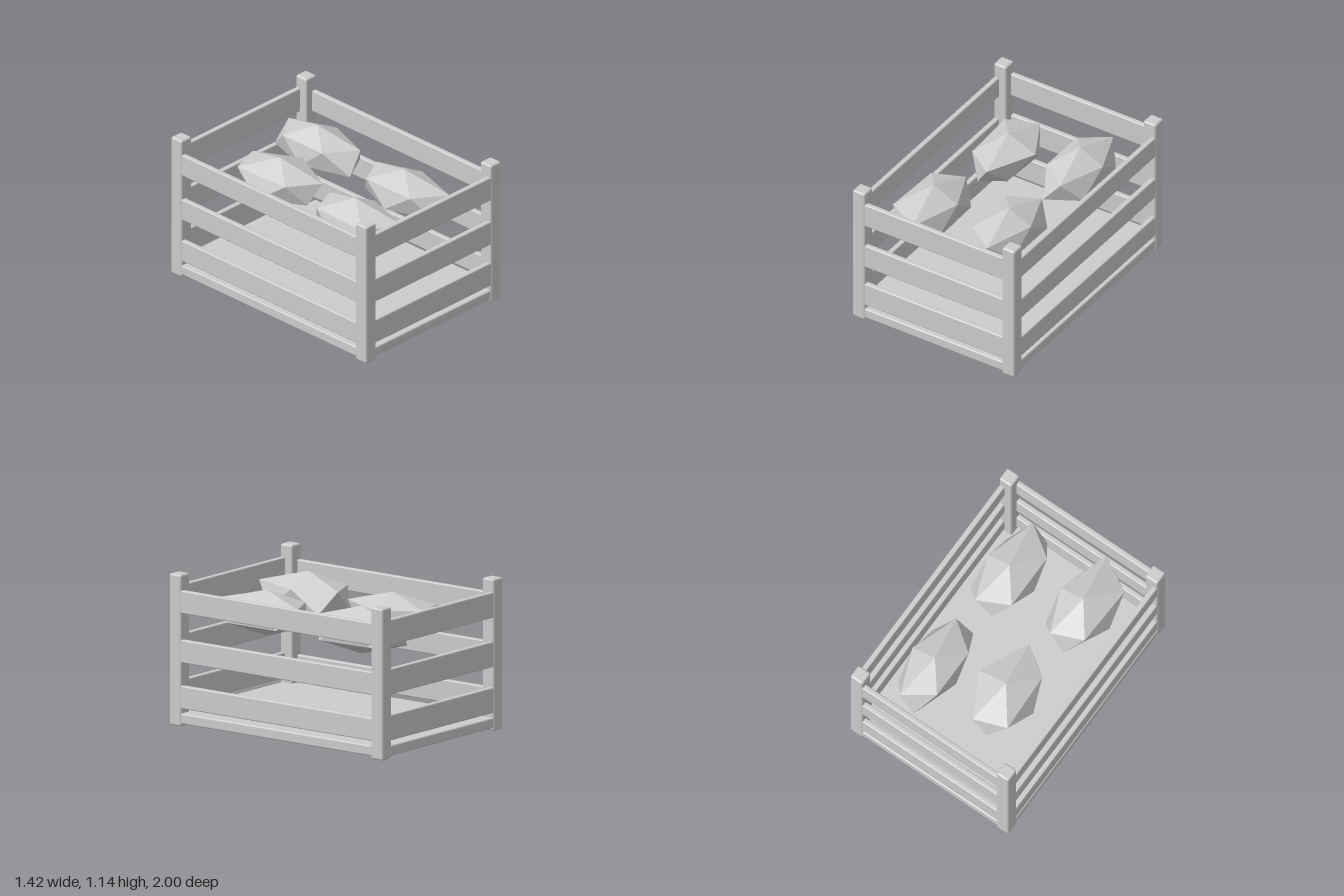
import * as THREE from 'three';
import { RoundedBoxGeometry } from 'three/addons/geometries/RoundedBoxGeometry.js';

const grey = new THREE.MeshStandardMaterial({ color: 0xcccccc });
grey.name = 'plainGrey';
const facetedGrey = grey; // facets come from unshared vertices

function board(name, w, h, d, x, y, z, r) {
  const mesh = new THREE.Mesh(new RoundedBoxGeometry(w, h, d, 2, r), grey);
  mesh.name = name;
  mesh.position.set(x, y, z);
  return mesh;
}

// Faceted lump: a ten-point outline [x, z] whose corners alternate between an
// upper and a lower ring, closed by one point above and one below.
function lump(name, [x, z], [bottom, top], outline) {
  const mid = (top + bottom) / 2, r = (top - bottom) / 2;
  const ring = outline.map(([px, pz], i) =>
    [px, mid + (i % 2 ? -0.447 : 0.447) * r, pz]);
  const apex = [x, top, z], base = [x, bottom, z];
  const at = (i) => ring[i % 10];
  const tris = [];
  for (let i = 0; i < 10; i += 2) {
    const u = at(i), l = at(i + 1), u2 = at(i + 2), l2 = at(i + 3);
    tris.push(apex, u2, u, u, u2, l, l, u2, l2, base, l, l2);
  }
  const geo = new THREE.BufferGeometry();
  geo.setAttribute('position', new THREE.Float32BufferAttribute(tris.flat(), 3));
  geo.computeVertexNormals();
  const mesh = new THREE.Mesh(geo, facetedGrey);
  mesh.name = name;
  return mesh;
}

export function createModel() {
  const model = new THREE.Group();
  model.name = 'crateOfPotatoes';

  // Crate: floor, corner posts and three rows of slats
  const crate = new THREE.Group();
  crate.name = 'crate';
  crate.add(board('floor', 1.41, 0.08, 1.99, 0, 0.06, 0, 0.012));
  for (const sx of [-1, 1])
    for (const sz of [-1, 1])
      crate.add(board('cornerPost', 0.11, 1.14, 0.11, sx * 0.656, 0.57, sz * 0.945, 0.016));
  for (const y of [0.135, 0.48, 0.85])
    for (const s of [-1, 1]) {
      crate.add(board('endSlat', 1.26, 0.193, 0.042, 0, y + 0.0965, s * 0.975, 0.01));
      crate.add(board('sideSlat', 0.042, 0.172, 1.84, s * 0.685, y + 0.086, 0, 0.01));
    }
  model.add(crate);

  // Potatoes resting high in the crate
  const potatoes = new THREE.Group();
  potatoes.name = 'potatoes';
  potatoes.add(
    lump('backRightPotato', [-0.23, -0.35], [0.67, 1.025],
      [[-0.42, -0.6], [-0.295, -0.685], [-0.17, -0.69], [-0.08, -0.54], [0.01, -0.35],
        [-0.1, -0.15], [-0.17, 0.03], [-0.28, -0.02], [-0.4, -0.13], [-0.475, -0.35]]),
    lump('backLeftPotato', [0.31, -0.49], [0.67, 1.03],
      [[0.15, -0.69], [0.24, -0.86], [0.37, -0.845], [0.48, -0.71], [0.51, -0.49],
        [0.5, -0.24], [0.38, -0.12], [0.245, -0.095], [0.15, -0.29], [0.12, -0.49]]),
    lump('frontRightPotato', [-0.317, 0.51], [0.67, 1.05],
      [[-0.49, 0.28], [-0.38, 0.165], [-0.25, 0.18], [-0.14, 0.28], [-0.11, 0.51],
        [-0.13, 0.74], [-0.24, 0.91], [-0.39, 0.86], [-0.51, 0.76], [-0.55, 0.51]]),
    lump('frontLeftPotato', [0.285, 0.42], [0.68, 1.02],
      [[0.11, 0.2], [0.21, 0.09], [0.35, 0.08], [0.47, 0.19], [0.475, 0.42],
        [0.47, 0.65], [0.355, 0.815], [0.21, 0.795], [0.11, 0.65], [0.07, 0.43]]));
  model.add(potatoes);

  return model;
}
